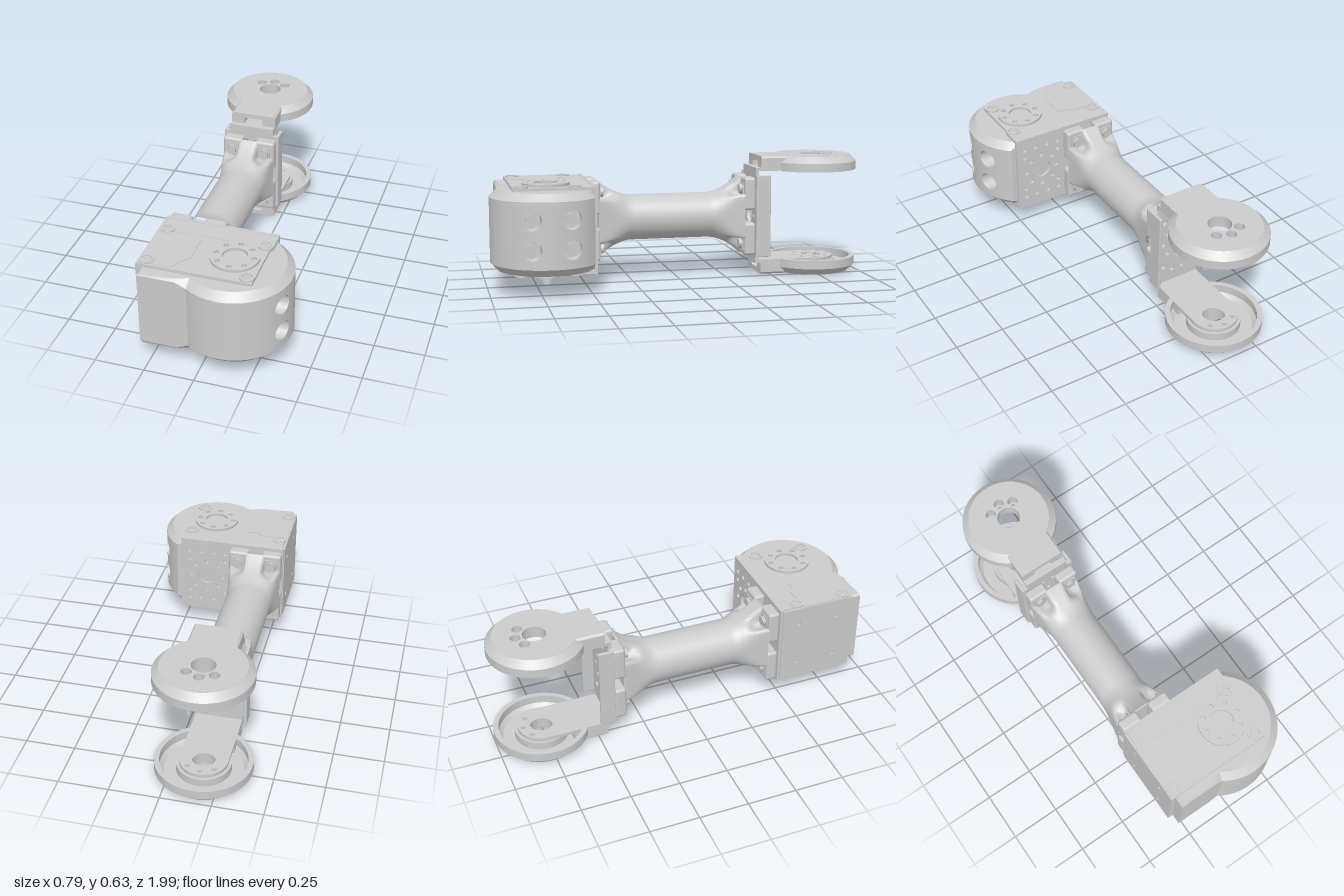
import * as THREE from 'three';
import { toCreasedNormals } from 'three/addons/utils/BufferGeometryUtils.js';
import { RoundedBoxGeometry } from 'three/addons/geometries/RoundedBoxGeometry.js';

const mat = new THREE.MeshStandardMaterial({ color: 0xcccccc });
const V = (x, y, z) => new THREE.Vector3(x, y, z);
const MID = 0.319;                       // mid height of the whole part
const CX = 0.115, CZ = 0.71, R = 0.28;   // round end of the housing

function add(parent, name, geo, x = 0, y = 0, z = 0) {
  const mesh = new THREE.Mesh(geo, mat);
  mesh.name = name;
  mesh.position.set(x, y, z);
  parent.add(mesh);
  return mesh;
}
const box = (p, name, x0, x1, y0, y1, z0, z1, r = 0) => add(p, name,
  r ? new RoundedBoxGeometry(x1 - x0, y1 - y0, z1 - z0, 2, r) : new THREE.BoxGeometry(x1 - x0, y1 - y0, z1 - z0),
  (x0 + x1) / 2, (y0 + y1) / 2, (z0 + z1) / 2);
const cyl = (p, name, r, y0, y1, x, z) =>
  add(p, name, new THREE.CylinderGeometry(r, r, y1 - y0, 32), x, (y0 + y1) / 2, z);

// Shapes: polygon or disc, with round holes given as [x, y, r]
function withHoles(shape, holes) {
  for (const [x, y, r] of holes) shape.holes.push(new THREE.Path().absarc(x, y, r, 0, Math.PI * 2, true));
  return shape;
}
const poly = (pts, holes = []) => withHoles(new THREE.Shape(pts.map(p => new THREE.Vector2(p[0], p[1]))), holes);
const rect = (x0, x1, y0, y1, holes) => poly([[x0, y0], [x1, y0], [x1, y1], [x0, y1]], holes);
const disc = (x, y, r, holes = []) => withHoles(new THREE.Shape().absarc(x, y, r, 0, Math.PI * 2), holes);
const ringHoles = (x, y, rad, r, n = 8) => Array.from({ length: n }, (_, i) => {
  const a = i * Math.PI * 2 / n;
  return [x + rad * Math.cos(a), y + rad * Math.sin(a), r];
});
const extrude = (shape, depth) => toCreasedNormals(
  new THREE.ExtrudeGeometry(shape, { depth, bevelEnabled: false, curveSegments: 24 }), 0.6);
// Horizontal plate from an (x, z) shape
const slab = (p, name, shape, y0, y1) => add(p, name, extrude(shape, y1 - y0).rotateX(Math.PI / 2), 0, y1, 0);

// Surface through rows of points
function grid(rows, crease = 0.5) {
  const pos = [];
  for (let i = 0; i + 1 < rows.length; i++)
    for (let j = 0; j + 1 < rows[i].length; j++) {
      const a = rows[i][j], b = rows[i + 1][j], c = rows[i + 1][j + 1], d = rows[i][j + 1];
      for (const v of [a, b, d, b, c, d]) pos.push(v.x, v.y, v.z);
    }
  const g = new THREE.BufferGeometry();
  g.setAttribute('position', new THREE.Float32BufferAttribute(pos, 3));
  g.computeVertexNormals();
  return toCreasedNormals(g, crease);
}

// Chamfered outer cover of the motor, with four screw wells in its round end
function buildCover(parent) {
  const A = Math.asin(0.19 / R), C = 0.037, y0 = 0.118, y1 = 0.52;
  const arc = (a, b, n) => Array.from({ length: n + 1 }, (_, i) => {
    const t = a + (b - a) * i / n;
    return [CX + R * Math.cos(t), CZ + R * Math.sin(t), C];
  });
  const wall = [...arc(A, 2.178, 24), [-0.1, 0.94, 0.012], [-0.285, 0.94, 0.012],
    [-0.285, 0.49, 0.012], [0.24, 0.49, 0.012], ...arc(-0.904, -A, 4)];
  const loop = [...wall, ...arc(-A, A, 24).slice(1, -1)];
  const n = loop.length;
  const inset = loop.map(([x, z, c], i) => {
    const p = loop[(i + n - 1) % n], q = loop[(i + 1) % n];
    const dx = q[0] - p[0], dz = q[1] - p[1], l = Math.hypot(dx, dz);
    return [x - dz / l * c, z + dx / l * c];
  });
  const closed = a => [...a, a[0]];
  const ring = (pts, yOf) => pts.map((p, i) => V(p[0], yOf(i), p[1]));
  const low = i => y0 + loop[i].at(2), high = i => y1 - loop[i].at(2);
  add(parent, 'coverWall', grid([ring(wall, low), ring(wall, high)]));
  add(parent, 'coverBottomChamfer', grid([closed(ring(inset, () => y0)), closed(ring(loop, low))]));
  add(parent, 'coverTopChamfer', grid([closed(ring(loop, high)), closed(ring(inset, () => y1))]));
  slab(parent, 'coverTop', poly(inset), y1 - 0.005, y1);
  slab(parent, 'coverBottom', poly(inset), y0, y0 + 0.005);

  for (const sy of [-1, 1]) for (const sz of [-1, 1]) {
    const hy = MID + sy * 0.073, hz = CZ + sz * 0.098, r = 0.048, hw = 0.095, hh = 0.082;
    const my = MID + sy * hh, mz = CZ + sz * hw, rows = [];
    for (let k = 0; k <= 48; k++) {
      // walk round the cell border, pairing each point with one on the well rim
      const s = Math.floor(k / 12) % 4, f = (k % 12) / 6 - 1;
      const [u, v] = [[1, f], [-f, 1], [-1, -f], [f, -1]][s];
      const oz = mz + u * hw, oy = my + v * hh, a = Math.atan2(oy - hy, oz - hz);
      const iz = hz + r * Math.cos(a), iy = hy + r * Math.sin(a), row = [V(0.3, iy, iz)];
      for (let j = 0; j <= 4; j++) {
        const z = iz + (oz - iz) * j / 4, y = iy + (oy - iy) * j / 4;
        row.push(V(CX + Math.sqrt(R * R - (z - CZ) ** 2), y, z));
      }
      rows.push(row);
    }
    add(parent, 'wellPanel', grid(rows));
    add(parent, 'wellFloor', new THREE.CircleGeometry(r, 32).rotateY(Math.PI / 2), 0.3, hy, hz);
    add(parent, 'wellScrew', new THREE.CylinderGeometry(0.024, 0.024, 0.02, 24).rotateZ(Math.PI / 2), 0.31, hy, hz);
  }
}

function buildMotor(root) {
  const g = new THREE.Group();
  g.name = 'motorUnit';
  root.add(g);
  buildCover(g);
  box(g, 'motorBody', -0.3, 0.24, 0.11, 0.528, 0.49, 0.885);
  // drilled back and side plates
  const pattern = [[CX, MID, 0.052], ...ringHoles(CX, MID, 0.09, 0.013)];
  for (const sx of [-1, 1]) for (const dy of [-0.15, -0.1, 0.1, 0.15]) pattern.push([CX + sx * 0.1, MID + dy, 0.013]);
  for (const dy of [-0.15, 0.15]) pattern.push([CX - 0.035, MID + dy, 0.013], [CX + 0.035, MID + dy, 0.013]);
  add(g, 'backPlate', extrude(rect(-0.305, 0.262, 0.1, 0.538, pattern), 0.015), 0, 0, 0.475);
  const side = [[-0.58, 0.2, 0.012], [-0.58, 0.44, 0.012], [-0.79, 0.2, 0.012], [-0.79, 0.44, 0.012]];
  add(g, 'sidePlate', extrude(rect(-0.885, -0.49, 0.106, 0.532, side), 0.012).rotateY(Math.PI / 2), -0.31, 0, 0);
  // top and bottom details
  for (const s of [1, -1]) {
    const level = (name, shape, a, b) => slab(g, name, shape, MID + Math.min(s * a, s * b), MID + Math.max(s * a, s * b));
    level('bracketFlange', rect(-0.295, 0.262, 0.475, 0.59), 0.2, 0.217);
    level('facePlate', rect(-0.308, 0.25, 0.58, 0.883), 0.2, 0.215);
    level('facePanel', poly([[-0.3, 0.6], [-0.16, 0.6], [-0.14, 0.625], [-0.08, 0.625], [-0.08, 0.78],
      [-0.12, 0.82], [-0.14, 0.87], [-0.3, 0.87]]), 0.21, 0.218);
    level('hornDisc', disc(CX, CZ, 0.118, [[CX, CZ, 0.06], ...ringHoles(CX, CZ, 0.092, 0.013)]), 0.2, 0.229);
    for (const [x, z] of [[-0.265, 0.58], [0.225, 0.58], [-0.27, 0.843], [0.215, 0.843]]) {
      level('screwCollar', disc(x, z, 0.036, [[x, z, 0.024]]), 0.2, 0.222);
      level('screwHead', disc(x, z, 0.02, [[x, z, 0.009]]), 0.2, 0.22);
    }
  }
  cyl(g, 'shaftCollar', 0.047, 0.065, 0.12, CX, CZ);
  cyl(g, 'shaftTip', 0.027, 0.037, 0.1, CX, CZ);
}

// Tube with a flared, four-lug flange at both ends
function buildArm(root) {
  const g = new THREE.Group();
  g.name = 'arm';
  g.position.set(-0.16, MID, 0.03);
  root.add(g);
  add(g, 'armTube', new THREE.CylinderGeometry(0.12, 0.12, 0.44, 64, 1, true).rotateX(Math.PI / 2));
  const corner = Math.atan2(0.145, 0.09), rows = [];
  for (let i = 0; i <= 20; i++) {
    const t = 1 - i / 20, a = 0.12 + 0.02 * t ** 1.5, b = 0.12 + 0.085 * t ** 1.9, n = 2 + 5 * t * t, row = [];
    const pocket = THREE.MathUtils.smoothstep(t, 0.3, 0.75);
    for (let k = 0; k <= 128; k++) {
      const th = k / 128 * Math.PI * 2, c = Math.abs(Math.cos(th)), s = Math.abs(Math.sin(th));
      let r = ((c / a) ** n + (s / b) ** n) ** (-1 / n);
      const w = pocket * Math.exp(-(((Math.atan2(s, c) - corner) / 0.24) ** 4));
      r += (Math.min(r, 0.13) - r) * w;
      row.push(V(r * Math.cos(th), r * Math.sin(th), 0.205 + 0.184 * t));
    }
    rows.push(row);
  }
  const flare = grid(rows, 0.7);
  for (const turn of [0, Math.PI]) {
    const end = new THREE.Group();
    end.name = 'armEnd';
    end.rotation.y = turn;
    g.add(end);
    add(end, 'flare', flare);
    box(end, 'flangeWeb', -0.12, 0.12, -0.18, 0.18, 0.38, 0.39);
    for (const sx of [-1, 1]) for (const sy of [-1, 1]) {
      add(end, 'flangeLug', new RoundedBoxGeometry(0.107, 0.172, 0.06, 3, 0.014), sx * 0.0885, sy * 0.121, 0.415);
      add(end, 'lugScrew', new THREE.CylinderGeometry(0.026, 0.026, 0.03, 6).rotateX(Math.PI / 2), sx * 0.09, sy * 0.148, 0.378);
    }
  }
}

// Fork bracket carrying two round caps
function buildFork(root) {
  const g = new THREE.Group();
  g.name = 'fork';
  g.position.set(-0.16, MID, 0);
  root.add(g);
  const holes = [[0, 0, 0.05], ...ringHoles(0, 0, 0.085, 0.012)];
  for (const sx of [-1, 1]) for (const sy of [-1, 1]) holes.push([sx * 0.085, sy * 0.14, 0.016], [sx * 0.03, sy * 0.17, 0.012]);
  add(g, 'forkWeb', extrude(rect(-0.12, 0.12, -0.25, 0.25, holes), 0.018), 0, 0, -0.437);
  for (const s of [-1, 1]) {
    box(g, 'webEdge', s * 0.133 - 0.017, s * 0.133 + 0.017, -0.218, 0.218, -0.437, -0.416);
    box(g, 'sideLip', s * 0.143 - 0.009, s * 0.143 + 0.009, -0.218, 0.218, -0.495, -0.416, 0.004);
  }
  const cz = -0.765, bore = [0, cz, 0.058];
  const wells = [-1, 0, 1].map(k => [0.093 * Math.sin(k * Math.PI / 4), cz - 0.093 * Math.cos(k * Math.PI / 4), 0.026]);
  for (const turn of [0, Math.PI]) {
    const half = new THREE.Group();
    half.name = 'forkHalf';
    half.rotation.z = turn;
    g.add(half);
    const arm = new THREE.Shape().moveTo(0.12, -0.419).lineTo(0.12, cz).absarc(0, cz, 0.12, 0, Math.PI, true).lineTo(-0.12, -0.419);
    slab(half, 'forkArm', withHoles(arm, [bore, ...ringHoles(0, cz, 0.093, 0.014)]), 0.238, 0.256);
    slab(half, 'capTop', disc(0, cz, 0.206, [bore, ...wells]), 0.296, 0.316);
    slab(half, 'capBoss', disc(0, cz, 0.135, [bore, ...wells]), 0.256, 0.296);
    // rim is left open where the neck joins
    const rim = [[0.19, 0.3], [0.214, 0.278], [0.214, 0.236], [0.24, 0.236], [0.24, 0.281], [0.205, 0.316], [0.19, 0.316]];
    add(half, 'capRim', toCreasedNormals(new THREE.LatheGeometry(rim.map(p => new THREE.Vector2(...p)),
      72, 0.53, Math.PI * 2 - 1.06), 0.5), 0, 0, cz);
    const neck = poly([[-0.121, 0.256], [-0.05, 0.256], [-0.05, 0.284], [-0.043, 0.291], [0.043, 0.291], [0.05, 0.284],
      [0.05, 0.256], [0.121, 0.256], [0.121, 0.306], [0.111, 0.316], [-0.111, 0.316], [-0.121, 0.306]]);
    add(half, 'capNeck', extrude(neck, 0.18), 0, 0, -0.63);
  }
}

export function createModel() {
  const root = new THREE.Group();
  root.name = 'jointedArmLink';
  buildMotor(root);
  buildArm(root);
  buildFork(root);
  return root;
}
